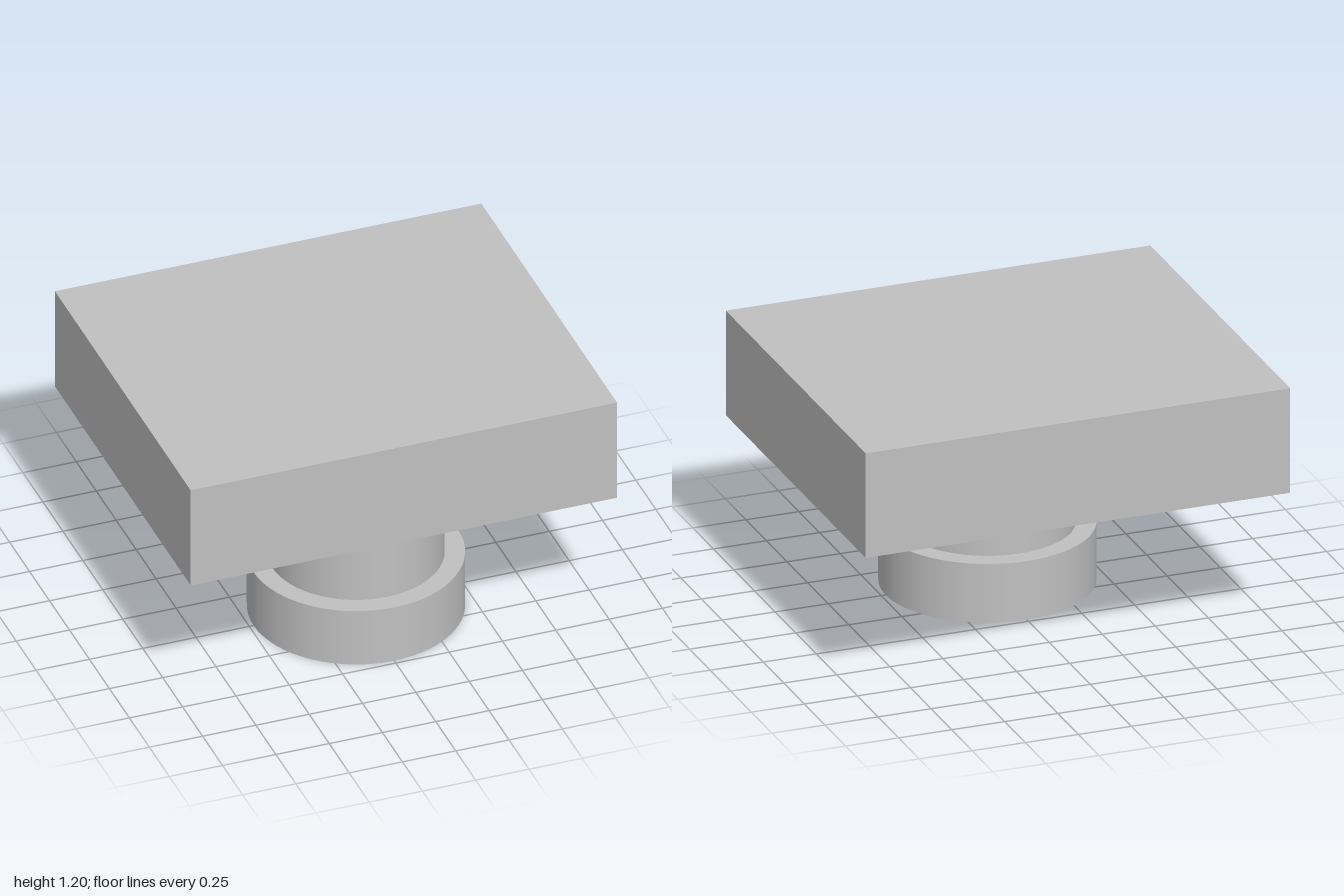
import * as THREE from 'three';

export function createModel() {
  const model = new THREE.Group();
  const grey = new THREE.MeshStandardMaterial({ color: 0xc0c0c0 });
  grey.name = 'light grey';

  const add = (name, geometry, y, z) => {
    const mesh = new THREE.Mesh(geometry, grey);
    mesh.name = name;
    mesh.position.set(0, y, z);
    model.add(mesh);
  };

  // rectangular block on top
  add('block', new THREE.BoxGeometry(2, 0.5, 1.7), 0.95, 0);

  // round stem and wider foot, set towards the front
  const stemZ = 0.25;
  add('stem', new THREE.CylinderGeometry(0.39, 0.39, 0.42, 64, 1, true), 0.49, stemZ);
  add('foot', new THREE.CylinderGeometry(0.48, 0.48, 0.28, 64), 0.14, stemZ);

  return model;
}
